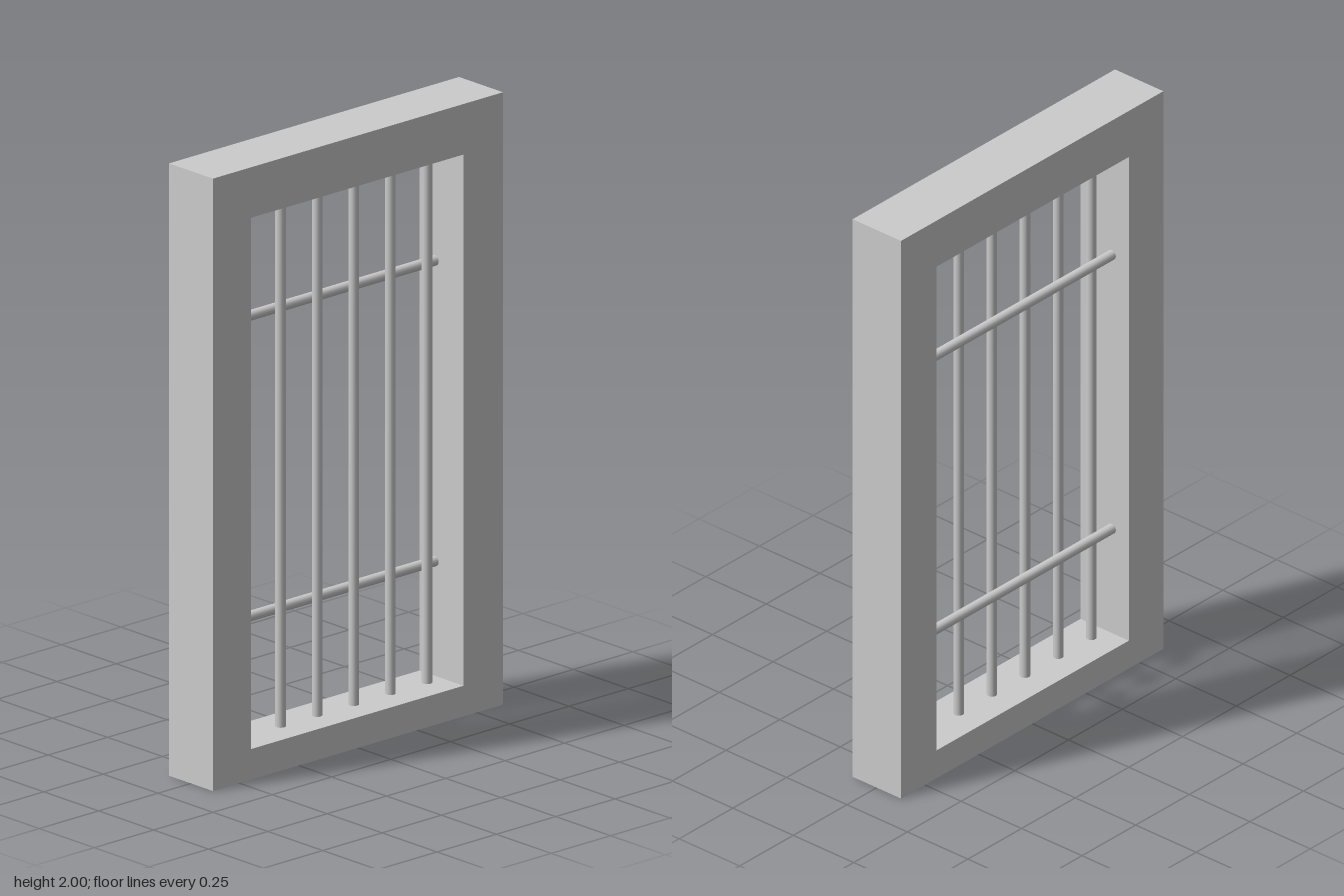
import * as THREE from 'three';

const material = new THREE.MeshStandardMaterial({ color: 0xcccccc });

const WIDTH = 1.222, HEIGHT = 2, DEPTH = 0.2;
const OPENING = { left: -0.45, right: 0.445, bottom: 0.1, top: 1.835 };
const BAR_RADIUS = 0.0165;
const EMBED = 0.02; // how far bar ends run into the frame

function bar(name, length) {
  const mesh = new THREE.Mesh(new THREE.CylinderGeometry(BAR_RADIUS, BAR_RADIUS, length, 16), material);
  mesh.name = name;
  return mesh;
}

export function createModel() {
  const model = new THREE.Group();
  model.name = 'barredWindow';

  // Solid surround with a rectangular opening
  const outline = new THREE.Shape([
    new THREE.Vector2(-WIDTH / 2, 0),
    new THREE.Vector2(WIDTH / 2, 0),
    new THREE.Vector2(WIDTH / 2, HEIGHT),
    new THREE.Vector2(-WIDTH / 2, HEIGHT),
  ]);
  const { left, right, bottom, top } = OPENING;
  outline.holes.push(new THREE.Path([
    new THREE.Vector2(left, bottom),
    new THREE.Vector2(left, top),
    new THREE.Vector2(right, top),
    new THREE.Vector2(right, bottom),
  ]));
  const frameGeometry = new THREE.ExtrudeGeometry(outline, { depth: DEPTH, bevelEnabled: false });
  frameGeometry.translate(0, 0, -DEPTH / 2);
  const frame = new THREE.Mesh(frameGeometry, material);
  frame.name = 'frame';
  model.add(frame);

  // Upright bars in the middle of the frame's depth
  for (let i = 0; i < 6; i++) {
    const upright = bar('verticalBar', top - bottom + 2 * EMBED);
    upright.position.set(-0.388 + i * 0.1543, (top + bottom) / 2, 0);
    model.add(upright);
  }

  // Cross bars resting against the back of the uprights
  for (const y of [0.475, 1.457]) {
    const cross = bar('horizontalBar', right - left + 2 * EMBED);
    cross.rotation.z = Math.PI / 2;
    cross.position.set((left + right) / 2, y, -0.03);
    model.add(cross);
  }

  return model;
}
